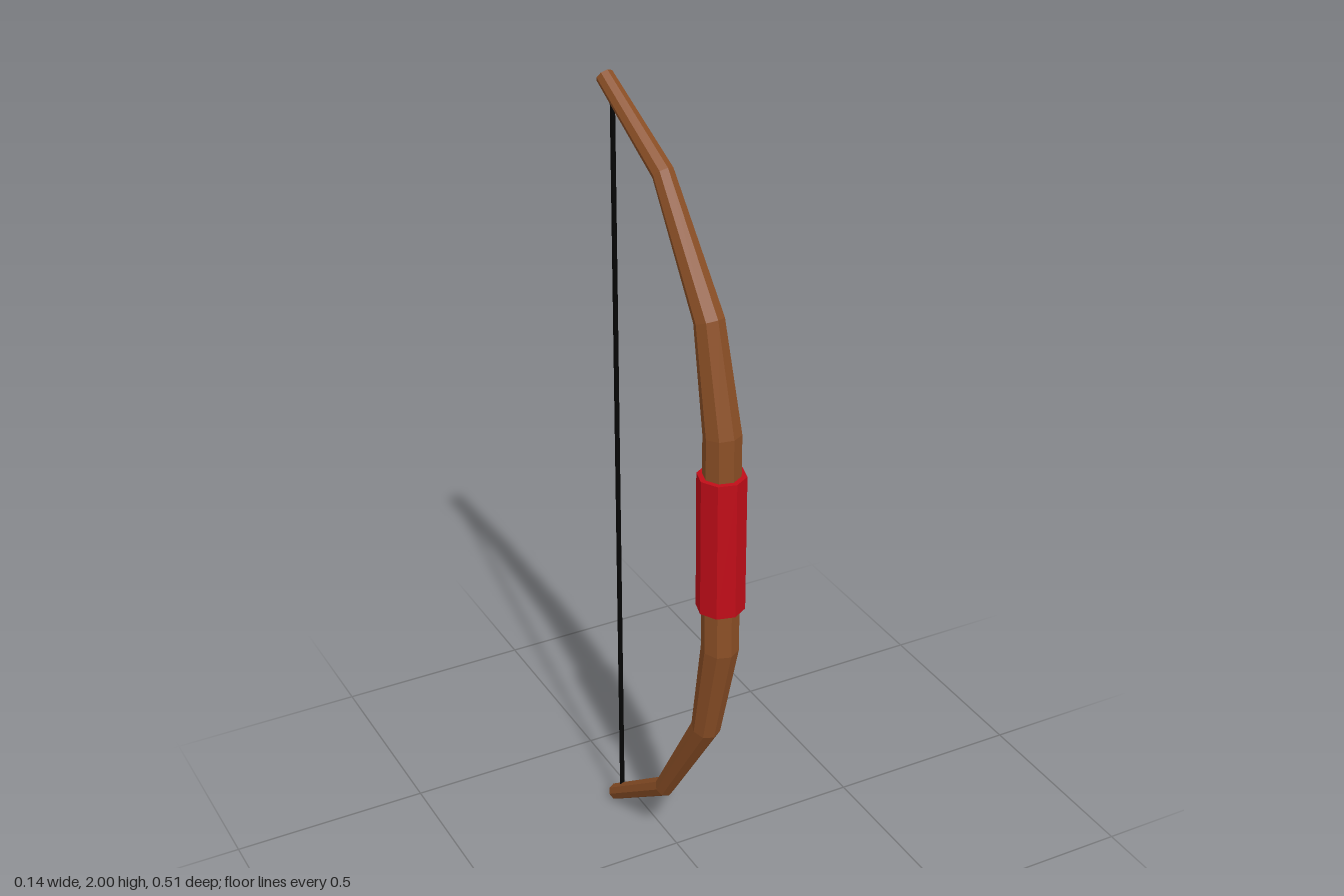
import * as THREE from 'three';

const SIDES = 8;

// Closed faceted tube through stations [y, z, radius], ordered bottom to top
function taperedLimb(stations) {
  const pos = [], index = [];
  const pts = stations.map(([y, z]) => new THREE.Vector3(0, y, z));
  const last = pts.length - 1;
  const direction = (a, b) => pts[b].clone().sub(pts[a]).normalize();
  pts.forEach((p, i) => {
    // ring lies on the plane halfway between neighbouring segments
    const t = new THREE.Vector3();
    if (i > 0) t.add(direction(i - 1, i));
    if (i < last) t.add(direction(i, i + 1));
    t.normalize();
    const n = new THREE.Vector3(1, 0, 0).cross(t);
    const r = stations[i][2];
    for (let k = 0; k < SIDES; k++) {
      const a = (k / SIDES) * Math.PI * 2;
      pos.push(r * Math.cos(a), p.y + r * Math.sin(a) * n.y, p.z + r * Math.sin(a) * n.z);
    }
  });
  for (let i = 0; i < last; i++) {
    for (let k = 0; k < SIDES; k++) {
      const a = i * SIDES + k, b = i * SIDES + (k + 1) % SIDES;
      index.push(a, a + SIDES, b, b, a + SIDES, b + SIDES);
    }
  }
  // end caps
  const top = last * SIDES;
  for (let k = 1; k < SIDES - 1; k++) {
    index.push(0, k, k + 1, top, top + k + 1, top + k);
  }
  const geo = new THREE.BufferGeometry();
  geo.setAttribute('position', new THREE.Float32BufferAttribute(pos, 3));
  geo.setIndex(index);
  const flat = geo.toNonIndexed();
  flat.computeVertexNormals();
  return flat;
}

export function createModel() {
  const model = new THREE.Group();
  model.name = 'bow';
  const add = (name, geo, color, y, z) => {
    const mesh = new THREE.Mesh(geo, new THREE.MeshStandardMaterial({ color, flatShading: true }));
    mesh.name = name;
    mesh.position.set(-0.017, y, z);
    bow.add(mesh);
  };

  // whole bow is turned slightly about the vertical
  const bow = new THREE.Group();
  bow.name = 'bowAssembly';
  bow.rotation.y = THREE.MathUtils.degToRad(7.5);
  model.add(bow);

  // wooden stave: upper half mirrored to the lower half, heights relative to the grip
  const upper = [
    [0.283, 0.198, 0.045],
    [0.542, 0.145, 0.036],
    [0.828, -0.028, 0.026],
    [0.983, -0.251, 0.021],
  ];
  const lower = upper.map(([y, z, r]) => [-y, z, r]).reverse();
  add('stave', taperedLimb([...lower, ...upper]), 0x8b4f26, 1, 0);

  // grip wrap around the middle
  add('grip', new THREE.CylinderGeometry(0.058, 0.058, 0.35, SIDES), 0xc00d18, 1.006, 0.198);

  // string between the two tips
  add('bowString', new THREE.CylinderGeometry(0.006, 0.006, 1.91, SIDES), 0x050505, 1, -0.221);

  return model;
}
